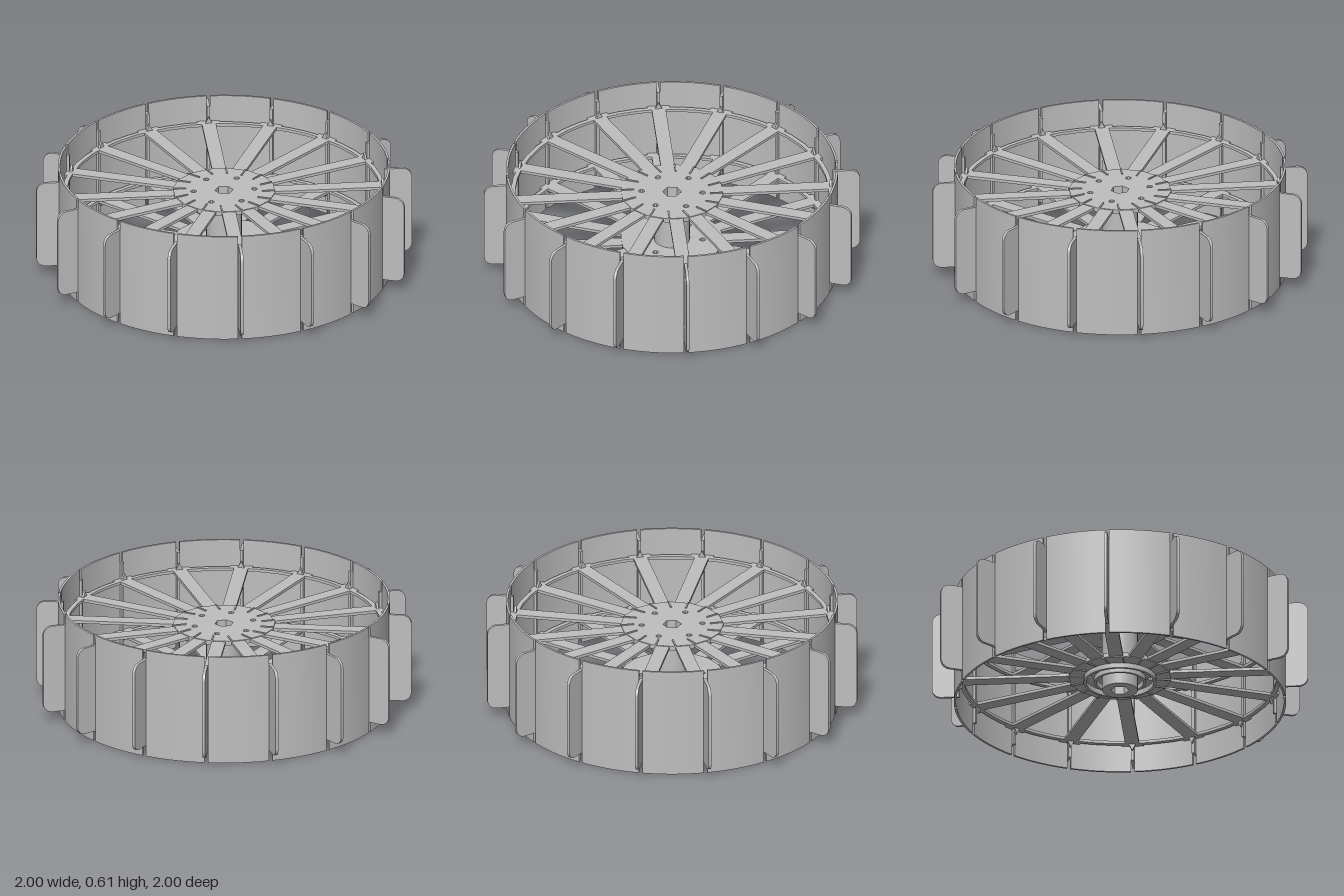
import * as THREE from 'three';
import { toCreasedNormals } from 'three/addons/utils/BufferGeometryUtils.js';

const COUNT = 16;
const STEP = (Math.PI * 2) / COUNT;
const START = Math.PI / 12; // first paddle sits at 15 degrees

// Extrude a plan-view shape upwards from y0 to y1
function slab(shape, y0, y1, curveSegments = 8) {
  const g = new THREE.ExtrudeGeometry(shape, { depth: y1 - y0, bevelEnabled: false, curveSegments });
  g.rotateX(-Math.PI / 2);
  g.translate(0, y0, 0);
  return toCreasedNormals(g, 0.5);
}

function polygon(Type, radius, sides, turn = 0, cx = 0, cy = 0) {
  const pts = [];
  for (let i = 0; i < sides; i++) {
    const a = turn + (i / sides) * Math.PI * 2;
    pts.push(new THREE.Vector2(cx + radius * Math.cos(a), cy + radius * Math.sin(a)));
  }
  return new Type(pts);
}

function ringShape(outer, inner, sides, turn = 0) {
  const s = polygon(THREE.Shape, outer, sides, turn);
  s.holes.push(polygon(THREE.Path, inner, sides, turn));
  return s;
}

// Curved rim panel filling the space between two paddles
function panelShape() {
  const gap = 0.011, s = new THREE.Shape();
  s.absarc(0, 0, 0.888, gap, STEP - gap, false);
  s.absarc(0, 0, 0.876, STEP - gap, gap, true);
  s.closePath();
  return s;
}

// Rounded paddle blade standing in the radial plane
function paddleGeometry() {
  const x0 = 0.862, x1 = 1.008, y0 = 0.06, y1 = 0.55, r = 0.05, t = 0.016;
  const s = new THREE.Shape();
  s.moveTo(x0, y0);
  s.lineTo(x1 - r, y0);
  s.absarc(x1 - r, y0 + r, r, -Math.PI / 2, 0, false);
  s.lineTo(x1, y1 - r);
  s.absarc(x1 - r, y1 - r, r, 0, Math.PI / 2, false);
  s.lineTo(x0, y1);
  s.closePath();
  const g = new THREE.ExtrudeGeometry(s, { depth: t, bevelEnabled: false, curveSegments: 6 });
  g.translate(0, 0, -t / 2);
  return toCreasedNormals(g, 0.5);
}

// Hub plate with hexagonal bore and six bolt holes
function hubPlateShape() {
  const s = polygon(THREE.Shape, 0.275, COUNT, START + STEP / 2);
  s.holes.push(polygon(THREE.Path, 0.05, 6, Math.PI / 2));
  for (let i = 0; i < 6; i++) {
    const a = Math.PI / 2 + (i * Math.PI) / 3;
    s.holes.push(polygon(THREE.Path, 0.016, 10, 0, 0.163 * Math.cos(a), 0.163 * Math.sin(a)));
  }
  return s;
}

// Small triangular locating tab at a spoke end
function tabGeometry() {
  const s = new THREE.Shape();
  s.moveTo(-0.018, 0);
  s.lineTo(0.018, 0);
  s.lineTo(0, 0.035);
  s.closePath();
  const g = new THREE.ExtrudeGeometry(s, { depth: 0.012, bevelEnabled: false });
  g.rotateY(Math.PI / 2);
  g.translate(0.845, 0.008, 0);
  return g;
}

export function createModel() {
  const model = new THREE.Group();
  model.name = 'paddleWheel';
  const metal = new THREE.MeshStandardMaterial({ color: 0xbebebe });
  metal.name = 'plainGrey';

  const add = (parent, name, geometry, angle = 0) => {
    const m = new THREE.Mesh(geometry, metal);
    m.name = name;
    m.rotation.y = angle;
    parent.add(m);
    return m;
  };

  // Outer rim panels and paddles
  const rim = new THREE.Group();
  rim.name = 'rim';
  model.add(rim);
  const panel = slab(panelShape(), 0, 0.605, 6);
  const paddle = paddleGeometry();
  for (let i = 0; i < COUNT; i++) {
    add(rim, 'rimPanel', panel, START + i * STEP);
    add(rim, 'paddle', paddle, START + i * STEP);
  }

  // Two mirrored spoke wheels
  const spoke = new THREE.BoxGeometry(0.61, 0.016, 0.075);
  spoke.translate(0.555, 0, 0);
  const foot = new THREE.BoxGeometry(0.032, 0.016, 0.12);
  foot.translate(0.862, 0, 0);
  const rib = new THREE.BoxGeometry(0.07, 0.012, 0.008);
  rib.translate(0.235, 0.012, 0.036);
  const tab = tabGeometry();
  const ring = slab(ringShape(0.862, 0.838, 48, START), -0.008, 0.008);
  const plate = slab(hubPlateShape(), -0.012, 0.012);
  for (const side of [1, -1]) {
    const wheel = new THREE.Group();
    wheel.name = side > 0 ? 'upperSpokeWheel' : 'lowerSpokeWheel';
    wheel.position.y = 0.3025 + side * 0.148;
    model.add(wheel);
    add(wheel, 'supportRing', ring);
    add(wheel, 'hubPlate', plate);
    for (let i = 0; i < COUNT; i++) {
      const a = START + i * STEP;
      add(wheel, 'spoke', spoke, a);
      add(wheel, 'spokeFoot', foot, a);
      for (const [name, g] of [['spokeTab', tab], ['hubRib', rib]]) {
        const m = add(wheel, name, g, a);
        if (side < 0) m.rotation.set(Math.PI, a, 0, 'YXZ');
      }
    }
  }

  // Central hub tube and the collar beneath the lower plate
  const tube = polygon(THREE.Shape, 0.095, 32);
  tube.holes.push(polygon(THREE.Path, 0.05, 6, Math.PI / 2));
  add(model, 'hubTube', slab(tube, 0.07, 0.445));
  add(model, 'hubCollar', slab(ringShape(0.195, 0.18, 32), 0.115, 0.15));
  add(model, 'hubInnerCollar', slab(ringShape(0.138, 0.125, 32), 0.115, 0.15));
  return model;
}
